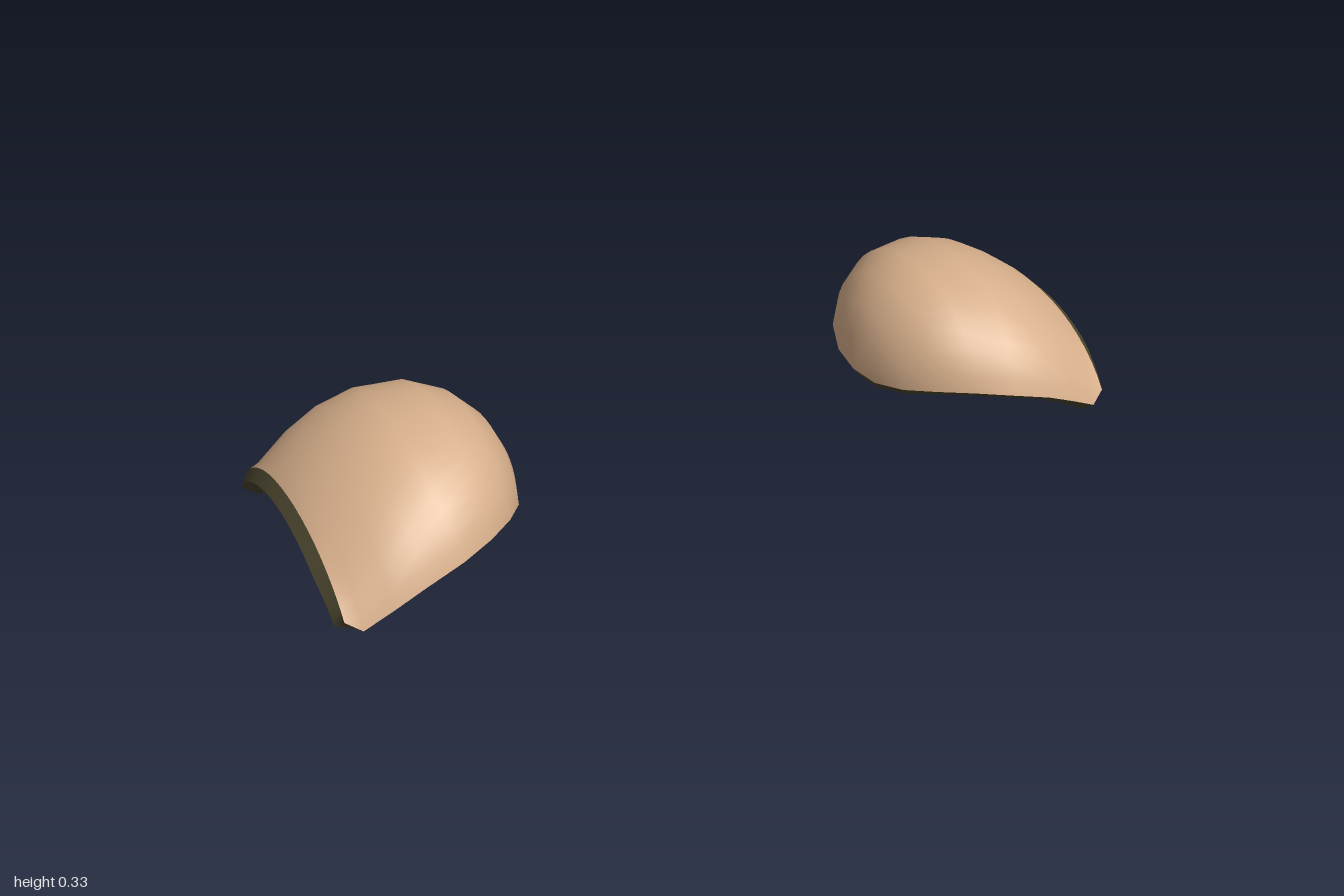
import * as THREE from 'three';
import { mergeVertices } from 'three/addons/utils/BufferGeometryUtils.js';

// Arches running from the open outer end to the closed inner side.
// Each row: foot x, y, z, crown x, y, then half sweep in degrees (small = flatter arch)
const OUTER = [
  [0.975, 0.045, 0.308, 0.975, 0.18, 60],
  [0.94, 0.022, 0.326, 0.945, 0.21, 73],
  [0.87, 0.06, 0.336, 0.89, 0.252, 80],
  [0.8, 0.092, 0.337, 0.82, 0.296, 82],
  [0.7, 0.12, 0.323, 0.74, 0.326, 82],
  [0.62, 0.13, 0.288, 0.63, 0.326, 83],
  [0.55, 0.122, 0.23, 0.555, 0.293, 85],
  [0.5, 0.105, 0.165, 0.502, 0.238, 87],
  [0.47, 0.088, 0.085, 0.47, 0.17, 90],
  [0.462, 0.082, 0, 0.462, 0.082, 90],
];
const INNER = [
  [0.955, 0.012, 0.268, 0.955, 0.135, 48],
  [0.91, 0.002, 0.272, 0.925, 0.165, 66],
  [0.86, 0.042, 0.285, 0.87, 0.205, 76],
  [0.8, 0.078, 0.288, 0.805, 0.248, 82],
  [0.7, 0.108, 0.278, 0.735, 0.277, 82],
  [0.62, 0.117, 0.245, 0.65, 0.28, 83],
  [0.565, 0.108, 0.195, 0.59, 0.256, 85],
  [0.525, 0.088, 0.14, 0.545, 0.21, 87],
  [0.5, 0.068, 0.07, 0.515, 0.15, 90],
  [0.492, 0.062, 0, 0.492, 0.062, 90],
];
const STEPS = 18;

// Arch points from the +z foot over the crown to the -z foot
function arches(rows) {
  return rows.map(([x, y, z, crownX, crownY, sweep]) => {
    const phi = THREE.MathUtils.degToRad(sweep);
    return Array.from({ length: STEPS + 1 }, (_, j) => {
      const a = phi * (1 - 2 * j / STEPS);
      const up = (Math.cos(a) - Math.cos(phi)) / (1 - Math.cos(phi));
      return new THREE.Vector3(
        THREE.MathUtils.lerp(x, crownX, up),
        THREE.MathUtils.lerp(y, crownY, up),
        z * Math.sin(a) / Math.sin(phi));
    });
  });
}

// Closed boundary of a shell: end arch, +z feet, then back along the -z feet
function boundary(rows) {
  const feet = rows.slice(1);
  const end = [...rows[0]].reverse();
  return [
    ...end,
    ...feet.map(r => r[0]),
    ...feet.slice(0, -1).reverse().map(r => r[STEPS]),
    end[0],
  ];
}

// Skin rows of points into a smooth surface; side = -1 mirrors it across x
function skin(rows, side) {
  const n = rows[0].length, pos = [], index = [];
  rows.forEach(row => row.forEach(v => pos.push(side * v.x, v.y, v.z)));
  const tri = (a, b, c) => side > 0 ? index.push(a, b, c) : index.push(a, c, b);
  for (let r = 0; r < rows.length - 1; r++) {
    for (let j = 0; j < n - 1; j++) {
      const a = r * n + j, b = a + 1;
      tri(a, b, b + n);
      tri(a, b + n, a + n);
    }
  }
  const raw = new THREE.BufferGeometry();
  raw.setAttribute('position', new THREE.Float32BufferAttribute(pos, 3));
  raw.setIndex(index);
  const geo = mergeVertices(raw, 1e-5);
  geo.computeVertexNormals();
  return geo;
}

export function createModel() {
  const tan = new THREE.MeshStandardMaterial({ color: 0xd7af8b });
  tan.name = 'tan shell';
  const olive = new THREE.MeshStandardMaterial({ color: 0x4a442d });
  olive.name = 'dark olive lining';

  const shell = arches(OUTER), lining = arches(INNER);
  const outerEdge = boundary(shell), innerEdge = boundary(lining);

  // Lip between the two edges: pushed outward at the open end, downward elsewhere
  const lip = outerEdge.map((p, i) => {
    const q = p.clone().lerp(innerEdge[i], 0.5);
    if (i <= STEPS || i === outerEdge.length - 1) q.x += 0.035 - 0.1 * Math.max(0, Math.abs(q.z) - 0.2);
    else q.y -= 0.012;
    return q;
  });

  const model = new THREE.Group();
  model.name = 'shoulderPads';
  for (const [name, side] of [['left', 1], ['right', -1]]) {
    const pad = new THREE.Group();
    pad.name = name + 'Pad';
    const add = (part, rows, material) => {
      const mesh = new THREE.Mesh(skin(rows, side), material);
      mesh.name = part;
      pad.add(mesh);
    };
    add('outerShell', shell, tan);
    add('rimOutside', [outerEdge, lip], olive);
    add('rimUnderside', [lip, innerEdge], olive);
    add('innerLining', [...lining].reverse(), olive);
    model.add(pad);
  }
  return model;
}
